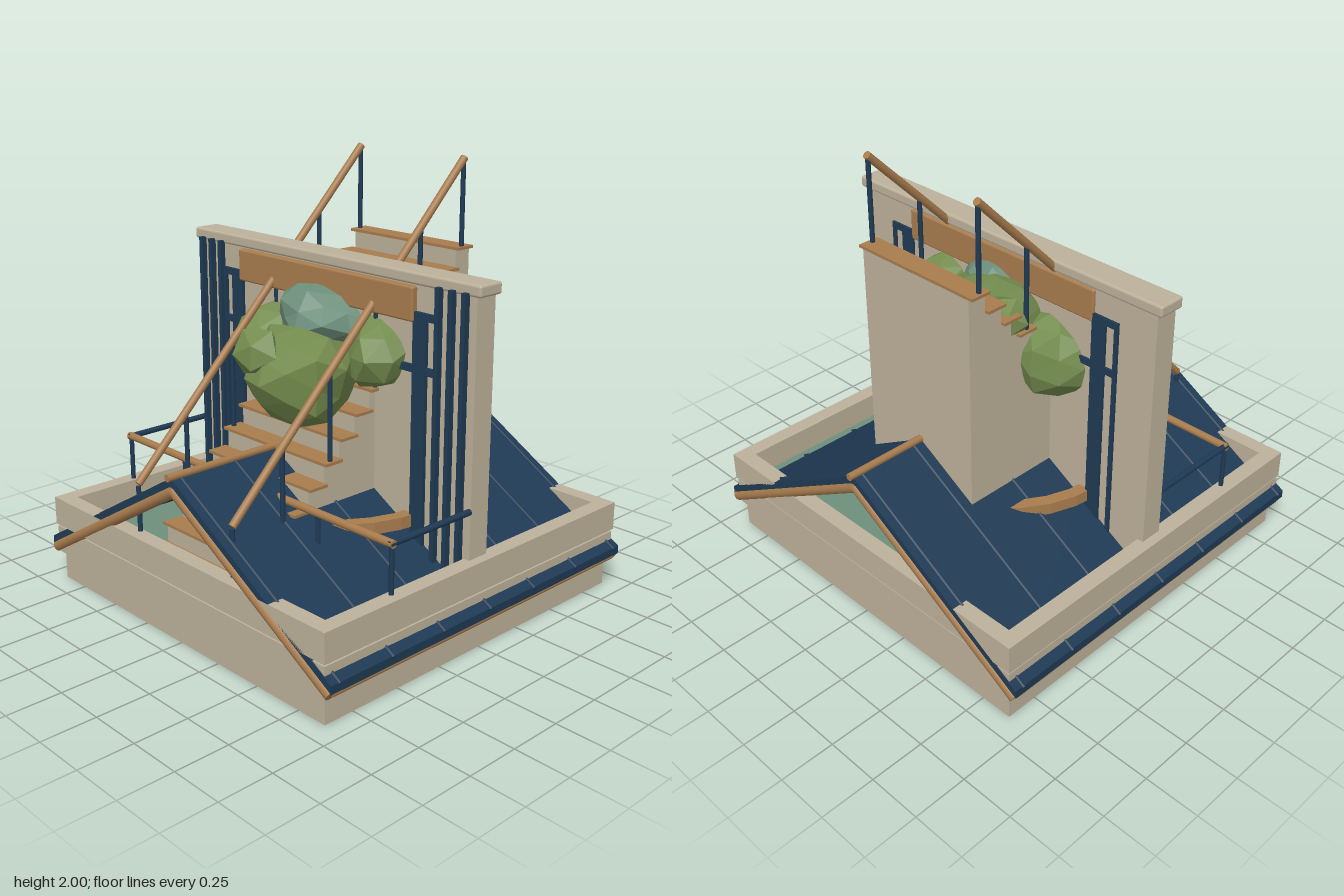
import * as THREE from 'three';
import { RoundedBoxGeometry } from 'three/addons/geometries/RoundedBoxGeometry.js';

const material = (name, color, extra = {}) => {
  const m = new THREE.MeshStandardMaterial({ color, ...extra });
  m.name = name;
  return m;
};

export function createModel() {
  const model = new THREE.Group();
  const stone = material('stone', 0xbdb19a);
  const wood = material('wood', 0xa87c4e);
  const navy = material('navy', 0x1f3a54);
  const leaf = material('leaf', 0x728a4d);
  const sage = material('sage', 0x6e8f7c);
  leaf.flatShading = sage.flatShading = true;

  const add = (name, geometry, mat) => {
    const mesh = new THREE.Mesh(geometry, mat);
    mesh.name = name;
    model.add(mesh);
    return mesh;
  };
  // Box given by its minimum and maximum on each axis
  const box = (name, mat, x0, x1, y0, y1, z0, z1, radius = 0) => {
    const size = [x1 - x0, y1 - y0, z1 - z0];
    const g = radius ? new RoundedBoxGeometry(...size, 2, radius) : new THREE.BoxGeometry(...size);
    g.translate((x0 + x1) / 2, (y0 + y1) / 2, (z0 + z1) / 2);
    return add(name, g, mat);
  };
  // Round bar between two points
  const bar = (name, mat, a, b, r, sides = 10) => {
    const p = new THREE.Vector3(...a), q = new THREE.Vector3(...b);
    const mesh = add(name, new THREE.CylinderGeometry(r, r, p.distanceTo(q), sides), mat);
    mesh.position.copy(p).add(q).multiplyScalar(0.5);
    mesh.quaternion.setFromUnitVectors(new THREE.Vector3(0, 1, 0), q.sub(p).normalize());
    return mesh;
  };
  const polygon = (points) => new THREE.Shape(points.map(([x, y]) => new THREE.Vector2(x, y)));
  const square = (s) => [[-s, -s], [s, -s], [s, s], [-s, s]];

  // Stepped base, raised rim and inner floor
  box('base', stone, -0.9, 0.9, 0, 0.137, -0.9, 0.9);
  box('baseCourse', stone, -0.92, 0.92, 0.137, 0.265, -0.92, 0.92);
  box('baseGroove', stone, -0.905, 0.905, 0.265, 0.276, -0.905, 0.905);
  const rimShape = polygon(square(0.925));
  rimShape.holes.push(polygon(square(0.85)));
  const rim = new THREE.ExtrudeGeometry(rimShape, { depth: 0.134, bevelEnabled: false });
  rim.rotateX(-Math.PI / 2).translate(0, 0.276, 0);
  add('rim', rim, stone);
  box('innerFloor', sage, -0.85, 0.85, 0.27, 0.288, -0.85, 0.85);

  // Open gable roof, with seams, barge poles, eave strips and ridge pole
  const slope = 0.583, ridgeY = 0.762;
  const roofY = (x) => ridgeY - slope * Math.abs(x);
  const e = 0.96, t = 0.038;
  const roof = new THREE.ExtrudeGeometry(
    polygon([[0, ridgeY], [-e, roofY(e)], [-e, roofY(e) - t], [0, ridgeY - t], [e, roofY(e) - t], [e, roofY(e)]]),
    { depth: 1.85, bevelEnabled: false });
  add('roof', roof.translate(0, 0, -0.925), navy);
  bar('ridgePole', wood, [0, 0.767, -0.945], [0, 0.767, 0.945], 0.017);
  for (const s of [-1, 1]) {
    for (const z of [-0.88, -0.59, -0.29, 0, 0.29, 0.59, 0.88])
      bar('roofSeam', navy, [0, ridgeY, z], [s * 0.965, roofY(0.965), z], 0.008, 6);
    for (const z of [-0.908, 0.908])
      bar('bargePole', wood, [0, 0.703, z], [s * 0.945, 0.152, z], 0.028, 12);
    bar('eaveStrip', wood, [s * 0.935, 0.152, -0.9], [s * 0.935, 0.152, 0.9], 0.016, 8);
  }

  // Ring bench that breaks through both roof slopes
  const ring = [[0.51, 0.47], [0.57, 0.47], [0.57, 0.525], [0.51, 0.525], [0.51, 0.47]]
    .map(([x, y]) => new THREE.Vector2(x, y));
  const bench = new THREE.LatheGeometry(ring, 28).toNonIndexed();
  bench.computeVertexNormals();
  add('ringBench', bench, wood);

  // Solid staircase with thin wooden treads
  const run = 0.09, rise = 0.091, count = 15;
  const stepTop = (i) => 1.578 - i * rise;
  const profile = [[-0.54, 0.28]];
  for (let i = 0; i < count; i++) {
    const z = -0.54 + i * run;
    profile.push([z, stepTop(i)], [z + run, stepTop(i)]);
    box('tread', wood, -0.343, 0.343, stepTop(i), stepTop(i) + 0.013, z - 0.002, z + run + 0.008);
  }
  profile.push([-0.54 + count * run, 0.28]);
  const stairs = new THREE.ExtrudeGeometry(polygon(profile), { depth: 0.64, bevelEnabled: false });
  add('stairs', stairs.rotateY(-Math.PI / 2).translate(0.32, 0, 0), stone);
  // The profile's first axis now runs along z

  // Sloping handrails and their posts
  for (const x of [-0.322, 0.322]) {
    bar('handrail', wood, [x, 0.63, 0.865], [x, 1.985, -0.49], 0.018);
    for (let k = 0; k < 6; k++) {
      const z = -0.485 + k * 0.27;
      const step = Math.min(count - 1, Math.floor((z + 0.54) / run));
      bar('handrailPost', navy, [x, stepTop(step), z], [x, 1.495 - z - 0.01, z], 0.011, 8);
    }
  }

  // Cross wall with cap and lintel beam
  box('wall', stone, -0.88, 0.88, 0.28, 1.545, -0.055, 0.055);
  box('wallCap', stone, -0.905, 0.905, 1.535, 1.588, -0.067, 0.067, 0.012);
  box('lintelBeam', wood, -0.557, 0.557, 1.38, 1.53, -0.068, 0.085, 0.01);

  // Door frame on both faces of the wall
  for (const [z0, z1] of [[-0.066, -0.05], [0.05, 0.072]]) {
    box('frameHead', navy, -0.69, 0.69, 1.393, 1.425, z0, z1);
    box('frameRail', navy, -0.69, 0.69, 1.163, 1.195, z0, z1);
    for (const s of [-1, 1]) {
      const mid = s * 0.587;
      box('framePost', navy, mid - 0.037, mid + 0.037, 0.3, 1.4, z0, z1);
      box('frameEdge', navy, s * 0.68 - 0.01, s * 0.68 + 0.01, 0.3, 1.42, z0, z1);
    }
  }

  // Screen bars and the balcony railing on each side
  for (const s of [-1, 1]) {
    for (const x of [0.695, 0.765, 0.835])
      box('screenBar', navy, s * x - 0.011, s * x + 0.011, 0.3, 1.55, 0.062, 0.09);
    bar('balconyFrontRail', wood, [s * 0.885, 0.627, 0.515], [s * 0.2, 0.627, 0.515], 0.018);
    bar('balconySideRail', navy, [s * 0.873, 0.627, 0.055], [s * 0.873, 0.627, 0.53], 0.014);
    for (const x of [0.45, 0.873])
      bar('balconyPost', navy, [s * x, 0.29, 0.515], [s * x, 0.627, 0.515], 0.011, 8);
  }

  // Faceted foliage clumps: [material, centre, radii, detail, turn]
  const clumps = [
    [leaf, [-0.32, 1.13, 0], [0.2, 0.19, 0.26], 1, 0.3],
    [leaf, [0.07, 1.09, 0.27], [0.27, 0.22, 0.25], 1, 1.1],
    [sage, [0.02, 1.32, 0.05], [0.23, 0.14, 0.23], 1, 0.7],
    [leaf, [0.33, 1.2, -0.03], [0.17, 0.18, 0.24], 1, 2.0],
    [leaf, [-0.06, 1.22, -0.13], [0.27, 0.23, 0.21], 1, 0.2],
    [leaf, [-0.02, 1.2, 0.43], [0.12, 0.11, 0.11], 0, 0.5],
    [leaf, [0.42, 1.31, -0.23], [0.09, 0.1, 0.11], 0, 1.4],
    [leaf, [-0.24, 1.36, -0.27], [0.12, 0.1, 0.09], 0, 0.9],
  ];
  clumps.forEach(([mat, centre, radii, detail, turn], n) => {
    const g = new THREE.IcosahedronGeometry(1, detail);
    const p = g.attributes.position, v = new THREE.Vector3();
    for (let i = 0; i < p.count; i++) {
      v.fromBufferAttribute(p, i);
      // Equal corners get the same push, so the faces stay joined
      const push = 1 + 0.11 * Math.sin(v.x * 5.1 + v.y * 7.3 + v.z * 9.7 + n * 2.3);
      p.setXYZ(i, v.x * push, v.y * push, v.z * push);
    }
    g.rotateY(turn).scale(...radii).translate(...centre);
    g.computeVertexNormals();
    add('foliage', g, mat);
  });

  // Mirror the staircase profile into place without flipping its faces
  model.getObjectByName('stairs').geometry.computeBoundingBox();
  return model;
}
